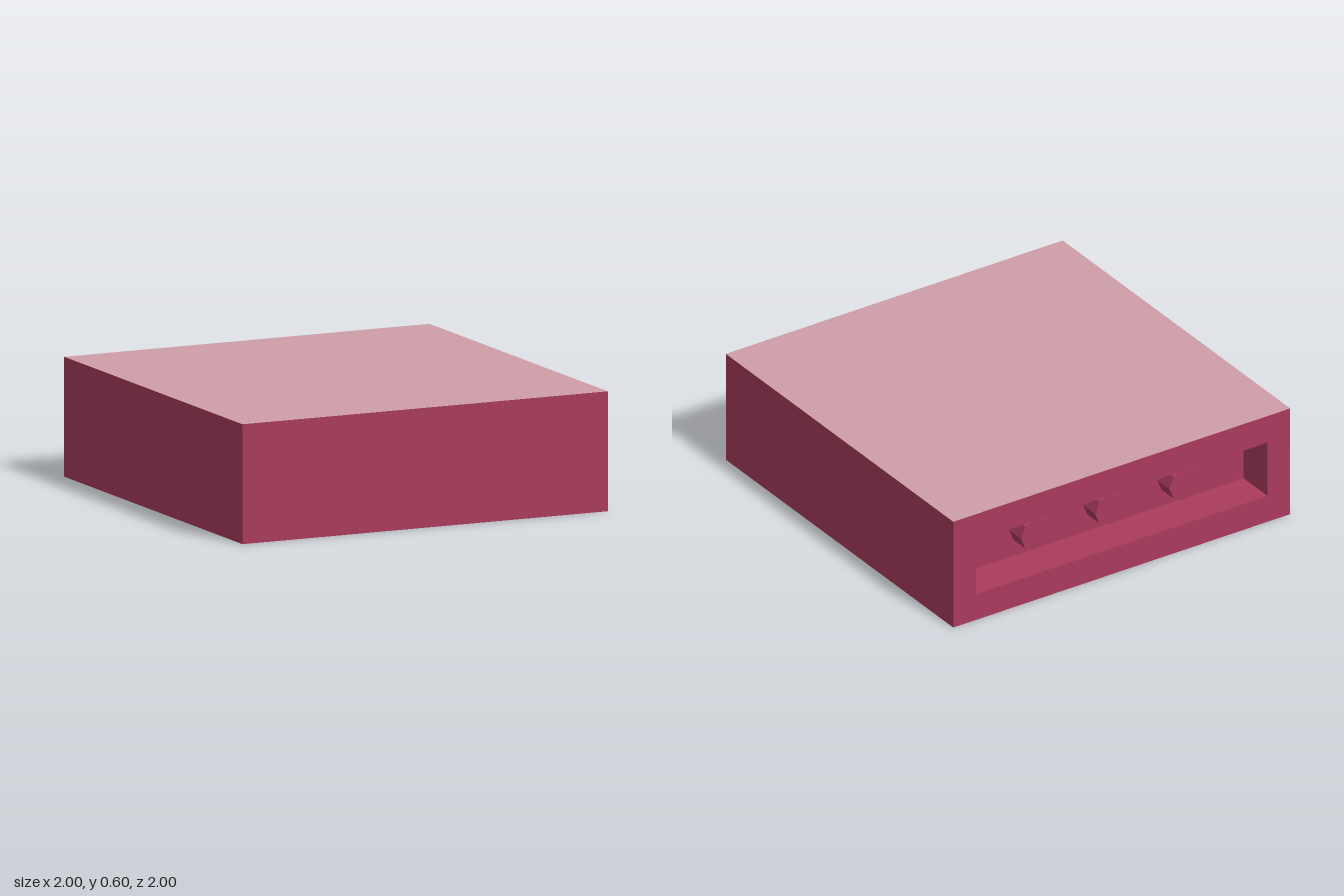
import * as THREE from 'three';

const WIDTH = 2, HEIGHT = 0.6, SKIN = 0.002, DEPTH = 0.21;
const BODY_TOP = HEIGHT - SKIN;

export function createModel() {
  const model = new THREE.Group();
  const crimson = new THREE.MeshStandardMaterial({ color: 0xaa3b5d });
  crimson.name = 'crimson';
  const palePink = new THREE.MeshStandardMaterial({ color: 0xce9ea8 });
  palePink.name = 'pale pink';

  const add = (name, geometry, material, x, y, z) => {
    const mesh = new THREE.Mesh(geometry, material);
    mesh.name = name;
    mesh.position.set(x, y, z);
    model.add(mesh);
    return mesh;
  };

  // Solid body in front of the recess
  add('body', new THREE.BoxGeometry(WIDTH, BODY_TOP, WIDTH - DEPTH), crimson,
    0, BODY_TOP / 2, DEPTH / 2);

  // Rear frame around a long rectangular recess
  const frame = new THREE.Shape([
    new THREE.Vector2(-1, 0), new THREE.Vector2(1, 0),
    new THREE.Vector2(1, BODY_TOP), new THREE.Vector2(-1, BODY_TOP),
  ]);
  frame.holes.push(new THREE.Path([
    new THREE.Vector2(-0.865, 0.147), new THREE.Vector2(-0.865, 0.45),
    new THREE.Vector2(0.865, 0.45), new THREE.Vector2(0.865, 0.147),
  ]));
  add('rearFrame', new THREE.ExtrudeGeometry(frame, { depth: DEPTH, bevelEnabled: false }),
    crimson, 0, 0, -1);

  // Pale top surface, with edges matching the body
  add('topSurface', new THREE.BoxGeometry(WIDTH, SKIN, WIDTH),
    [crimson, crimson, palePink, crimson, crimson, crimson], 0, HEIGHT - SKIN / 2, 0);

  // Three faceted pegs on the recess wall
  const pegGeometry = new THREE.CylinderGeometry(0.087, 0.087, 0.105, 8).toNonIndexed();
  pegGeometry.computeVertexNormals();
  pegGeometry.rotateX(Math.PI / 2);
  for (const x of [-0.44, 0, 0.44]) {
    add('peg', pegGeometry, crimson, x, 0.3, -1 + DEPTH - 0.0525);
  }

  return model;
}
